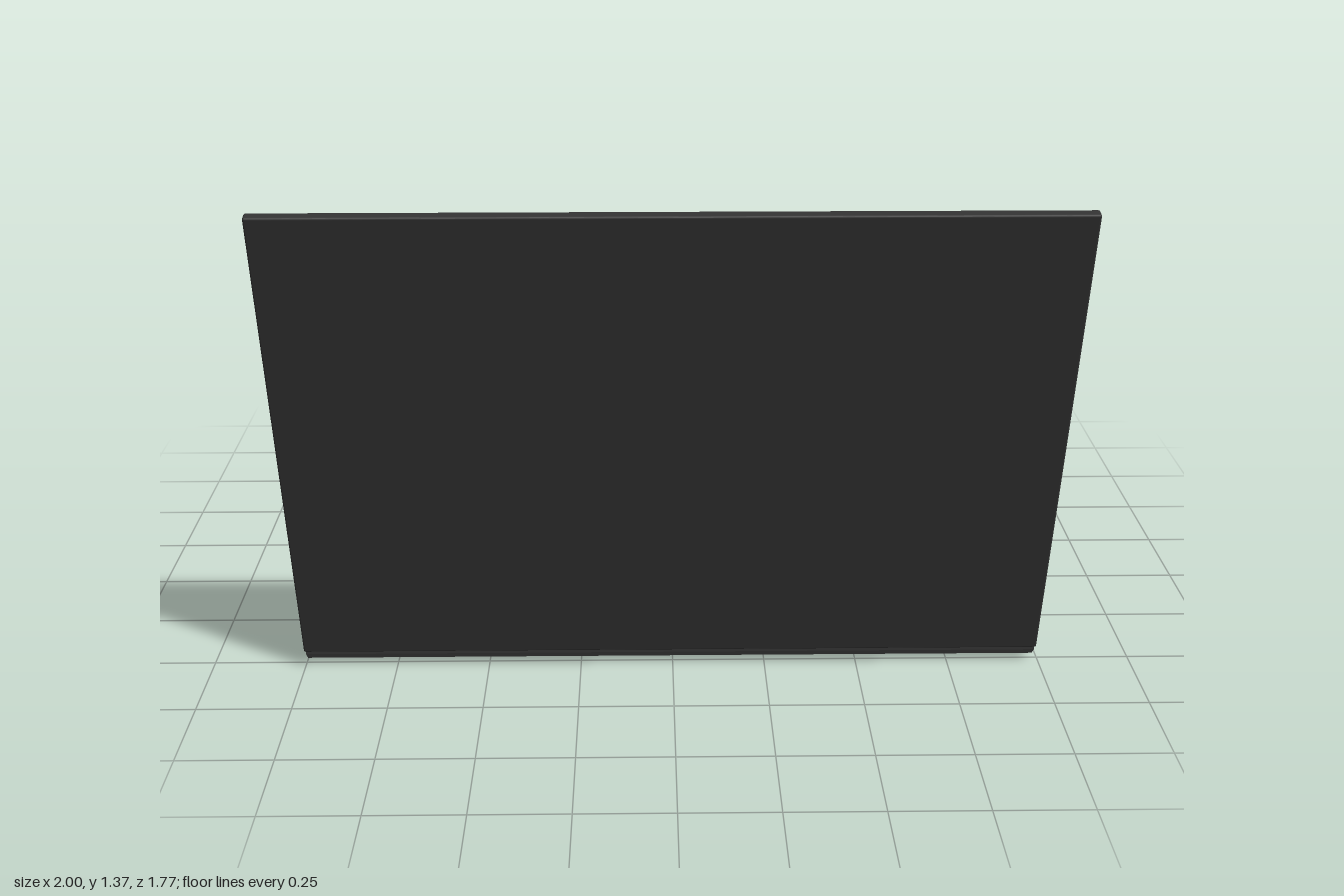
import * as THREE from 'three';
import { RoundedBoxGeometry } from 'three/addons/geometries/RoundedBoxGeometry.js';

const mat = (color) => new THREE.MeshStandardMaterial({ color });
const body = mat(0x333333), bed = mat(0x262626), keyMat = mat(0x2c2c2c);
const black = mat(0x0c0c0c), light = mat(0xcccccc);
const CX = -0.005, HALF = 0.995; // base centre and half width

function add(parent, name, geometry, material, x = 0, y = 0, z = 0) {
  const mesh = new THREE.Mesh(geometry, material);
  mesh.name = name;
  mesh.position.set(x, y, z);
  parent.add(mesh);
  return mesh;
}

// box given by its limits on each axis
function block(parent, name, material, [x0, x1], [y0, y1], [z0, z1]) {
  return add(parent, name, new THREE.BoxGeometry(x1 - x0, y1 - y0, z1 - z0), material,
    (x0 + x1) / 2, (y0 + y1) / 2, (z0 + z1) / 2);
}

// [z, y] profile extruded from x0 to x1
function alongX(profile, x0, x1) {
  const shape = new THREE.Shape(profile.map(([z, y]) => new THREE.Vector2(-z, y)));
  const g = new THREE.ExtrudeGeometry(shape, { depth: x1 - x0, bevelEnabled: false });
  return g.rotateY(Math.PI / 2).translate(x0, 0, 0);
}

// lower shell: box whose layers follow [y, half width, z min, z max]
function shellGeometry() {
  const rings = [[0, 0.945, -0.765, 0.47], [0.018, 0.99, -0.82, 0.508], [0.03, HALF, -0.855, 0.51],
    [0.045, HALF, -0.878, 0.51], [0.058, HALF, -0.885, 0.51], [0.066, HALF, -0.884, 0.51]];
  const n = rings.length - 1;
  const g = new THREE.BoxGeometry(1, 1, 1, 1, n, 1);
  const p = g.attributes.position;
  for (let i = 0; i < p.count; i++) {
    const [y, half, z0, z1] = rings[Math.round((p.getY(i) + 0.5) * n)];
    p.setXYZ(i, CX + Math.sign(p.getX(i)) * half, y, p.getZ(i) < 0 ? z0 : z1);
  }
  const flat = g.toNonIndexed();
  flat.computeVertexNormals();
  return flat;
}

function rectPath(path, x0, x1, z0, z1) {
  path.moveTo(x0, -z1);
  path.lineTo(x1, -z1);
  path.lineTo(x1, -z0);
  path.lineTo(x0, -z0);
  path.closePath();
  return path;
}

// top deck with an opening for the keyboard
function deckGeometry() {
  const shape = rectPath(new THREE.Shape(), CX - HALF, CX + HALF, -0.882, 0.51);
  shape.holes.push(rectPath(new THREE.Path(), -0.93, 0.908, -0.292, 0.28));
  const b = 0.004;
  const g = new THREE.ExtrudeGeometry(shape, {
    depth: 0.01, bevelThickness: b, bevelSize: b, bevelOffset: -b, bevelSegments: 2 });
  return g.rotateX(-Math.PI / 2).translate(0, 0.066, 0);
}

// key cap narrowing towards its top
function key(parent, x0, x1, z0, z1) {
  const w = x1 - x0, d = z1 - z0, inset = 0.007;
  const g = new THREE.BoxGeometry(w, 0.018, d);
  const p = g.attributes.position;
  for (let i = 0; i < p.count; i++) {
    if (p.getY(i) < 0) continue;
    p.setX(i, Math.sign(p.getX(i)) * (w / 2 - inset));
    p.setZ(i, Math.sign(p.getZ(i)) * (d / 2 - inset));
  }
  const flat = g.toNonIndexed();
  flat.computeVertexNormals();
  add(parent, 'key', flat, keyMat, (x0 + x1) / 2, 0.075, (z0 + z1) / 2);
}

function createKeyboard() {
  const keyboard = new THREE.Group();
  keyboard.name = 'keyboard';
  block(keyboard, 'keyboardBed', bed, [-0.93, 0.908], [0.06, 0.067], [-0.292, 0.28]);
  const gap = 0.014;
  // each run: x start, x end, number of equal keys
  const rows = [
    { z: [-0.28, -0.178], runs: [[-0.825, -0.75, 1], [-0.735, -0.575, 1], [-0.215, -0.03, 2],
      [-0.013, 0.475, 1], [0.49, 0.78, 3], [0.795, 0.897, 1]] },
    { z: [-0.165, -0.083], runs: [[-0.825, -0.575, 3], [-0.553, -0.33, 1], [-0.317, 0.677, 10], [0.692, 0.897, 1]] },
    { z: [-0.067, 0.013], runs: [[-0.825, -0.575, 3], [-0.553, -0.382, 1], [-0.367, 0.73, 11], [0.745, 0.897, 1]] },
    { z: [0.03, 0.11], runs: [[-0.825, -0.575, 3], [-0.553, 0.75, 13], [0.762, 0.897, 1]] },
    { z: [0.125, 0.205], runs: [[-0.912, -0.575, 4], [-0.553, -0.393, 1], [-0.377, 0.897, 13]] },
    { z: [0.217, 0.265], runs: [[-0.912, -0.575, 4], [-0.553, 0.897, 16]] },
  ];
  for (const { z, runs } of rows) {
    for (const [a, b, n] of runs) {
      const w = (b - a - gap * (n - 1)) / n;
      for (let i = 0; i < n; i++) key(keyboard, a + i * (w + gap), a + i * (w + gap) + w, z[0], z[1]);
    }
  }
  // tall number pad keys and the half-height arrows
  key(keyboard, -0.912, -0.838, -0.28, -0.083);
  key(keyboard, -0.912, -0.838, -0.067, 0.11);
  key(keyboard, -0.553, -0.452, -0.28, -0.22);
  key(keyboard, -0.44, -0.34, -0.28, -0.235);
  key(keyboard, -0.44, -0.34, -0.23, -0.183);
  key(keyboard, -0.328, -0.228, -0.28, -0.22);
  return keyboard;
}

function createPorts() {
  const ports = new THREE.Group();
  ports.name = 'ports';
  const sideX = [0.98, 0.9915];
  const round = (name, r, y, z, m, x) =>
    add(ports, name, new THREE.CylinderGeometry(r, r, 0.012, 20).rotateZ(Math.PI / 2), m, x, y, z);
  block(ports, 'lockSlot', black, sideX, [0.035, 0.06], [0.4, 0.44]);
  round('powerSocketRing', 0.021, 0.047, 0.32, bed, 0.9855);
  round('powerSocket', 0.014, 0.047, 0.32, black, 0.9865);
  round('powerPin', 0.005, 0.047, 0.32, light, 0.9875);
  for (let i = 0; i < 14; i++) {
    const z = 0.13 - i * 0.0245;
    block(ports, 'ventSlot', black, sideX, [0.03, 0.065], [z - 0.008, z + 0.008]);
  }
  // video socket with slanted lower corners
  add(ports, 'videoSocket', alongX([[-0.215, 0.065], [-0.215, 0.048], [-0.23, 0.033],
    [-0.275, 0.033], [-0.29, 0.048], [-0.29, 0.065]], ...sideX), black);
  // network socket in a protruding metal frame
  block(ports, 'networkSocket', black, [0.98, 0.993], [0.025, 0.07], [-0.415, -0.345]);
  block(ports, 'networkFrameBottom', light, [0.98, 1], [0.02, 0.026], [-0.42, -0.34]);
  for (const z of [-0.42, -0.345])
    block(ports, 'networkFrameSide', light, [0.98, 1], [0.02, 0.062], [z, z + 0.005]);
  block(ports, 'networkFlap', bed, [0.98, 1], [0.062, 0.076], [-0.42, -0.34]);
  for (const z of [-0.515, -0.61]) {
    block(ports, 'dataSocket', black, sideX, [0.048, 0.075], [z, z + 0.068]);
    block(ports, 'dataSocketTongue', light, [0.98, 0.9925], [0.058, 0.063], [z + 0.008, z + 0.06]);
  }
  round('audioSocket', 0.009, 0.058, -0.66, black, 0.9855);
  // opposite side: data socket and audio sockets
  block(ports, 'dataSocket', black, [-1.0, -0.98], [0.045, 0.07], [-0.5, -0.43]);
  for (const z of [-0.6, -0.66]) round('audioSocket', 0.009, 0.055, z, black, -0.994);
  return ports;
}

function createLid() {
  const lid = new THREE.Group();
  lid.name = 'lid';
  add(lid, 'lidPanel', new RoundedBoxGeometry(2 * HALF, 1.36, 0.028, 2, 0.005), body, CX, 0.68, 0.014);
  block(lid, 'screen', light, [-0.91, 0.897], [0.233, 1.24], [-0.002, 0.01]);
  lid.position.set(0, 0.057, 0.51);
  lid.rotation.x = 0.261;
  return lid;
}

export function createModel() {
  const model = new THREE.Group();
  model.name = 'laptop';
  add(model, 'lowerShell', shellGeometry(), body);
  add(model, 'deck', deckGeometry(), body);
  model.add(createKeyboard(), createPorts(), createLid());

  // touchpad with its button divider
  block(model, 'touchpad', keyMat, [-0.13, 0.425], [0.07, 0.082], [-0.705, -0.395]);
  block(model, 'touchpadDivider', light, [0.147, 0.152], [0.07, 0.083], [-0.685, -0.615]);

  // hinge cover between two metal hinge caps
  const cover = [[0.36, 0.075], [0.366, 0.095], [0.385, 0.112], [0.41, 0.119], [0.435, 0.119],
    [0.465, 0.113], [0.518, 0.1], [0.518, 0.075]];
  add(model, 'hingeCover', alongX(cover, -0.79, 0.77), body);
  block(model, 'hingeTrim', light, [-0.775, 0.765], [0.09, 0.105], [0.506, 0.516]);
  const cap = [[0.43, 0.075], [0.433, 0.095], [0.45, 0.108], [0.48, 0.111], [0.52, 0.105], [0.52, 0.075]];
  for (const [a, b] of [[-0.945, -0.792], [0.772, 0.92]])
    add(model, 'hingeCap', alongX(cap, a, b), light);
  return model;
}
